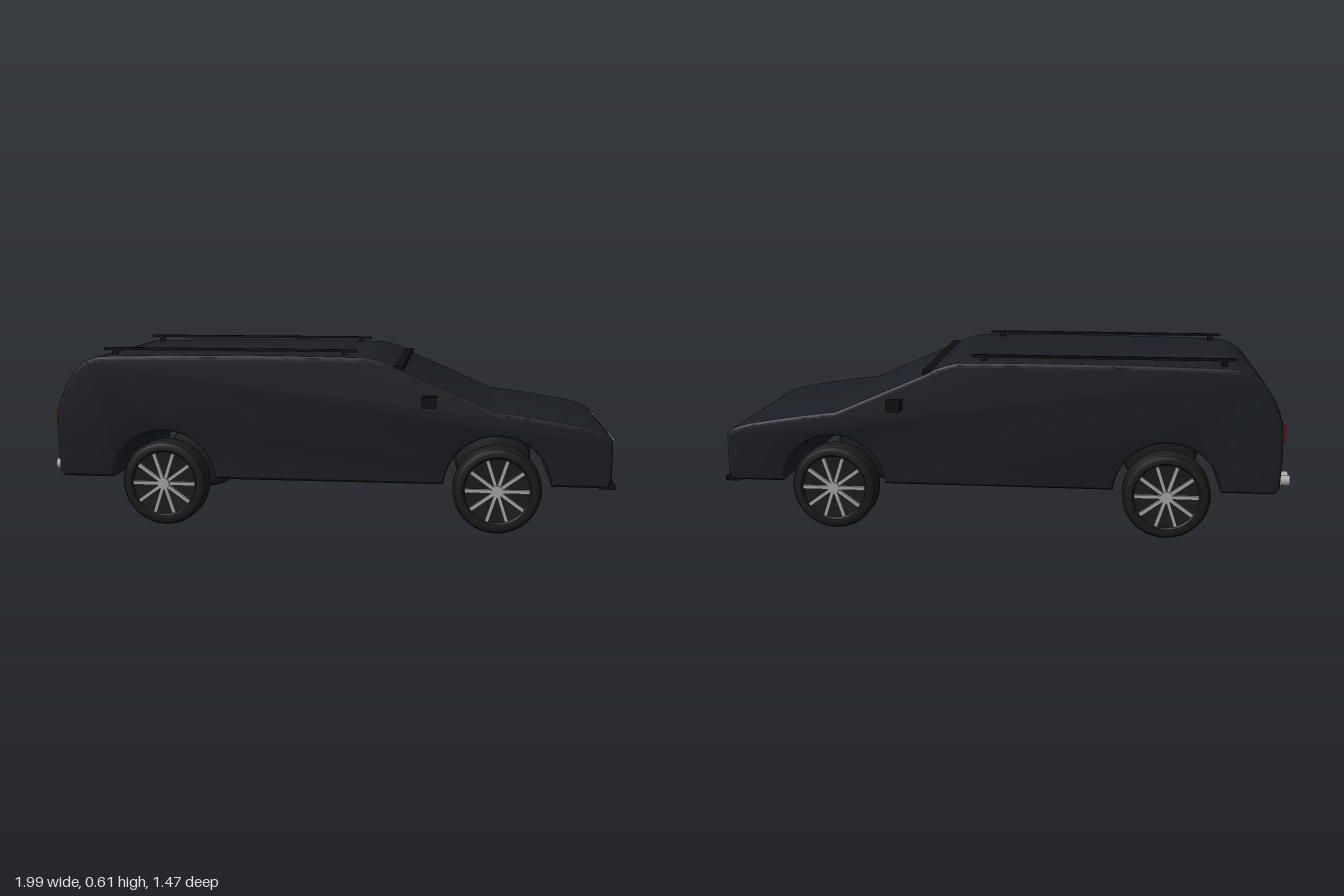
import * as THREE from 'three';
import { toCreasedNormals } from 'three/addons/utils/BufferGeometryUtils.js';

const paint = (color) => new THREE.MeshStandardMaterial({ color });
const MAT = {
  body: paint(0x1b1e24), trim: paint(0x0d0e10), tyre: paint(0x1c1c1c),
  metal: paint(0xaaaaaa), lamp: paint(0xe0e0e0), red: paint(0x8a1010),
};
const AXLE = 0.563, WHEEL_R = 0.147, ARCH_R = 0.178, FLOOR = 0.165, HALF_W = 0.353;

function add(parent, name, geometry, material, x = 0, y = 0, z = 0) {
  const mesh = new THREE.Mesh(geometry, material);
  mesh.name = name;
  mesh.position.set(x, y, z);
  parent.add(mesh);
  return mesh;
}
const box = (parent, name, mat, size, pos) => add(parent, name, new THREE.BoxGeometry(...size), mat, ...pos);

// Side profile with wheel arches cut through, extruded across the width
function bodyGeometry() {
  const s = new THREE.Shape();
  s.moveTo(-0.915, FLOOR);
  const a = Math.asin((FLOOR - 0.15) / ARCH_R);
  for (const x of [-AXLE, AXLE]) {
    s.lineTo(x - ARCH_R * Math.cos(a), FLOOR);
    s.absarc(x, 0.15, ARCH_R, Math.PI - a, a, true);
  }
  s.lineTo(0.925, FLOOR);
  s.lineTo(0.932, 0.2);
  s.lineTo(0.932, 0.322);
  s.quadraticCurveTo(0.925, 0.348, 0.85, 0.364);
  s.quadraticCurveTo(0.7, 0.392, 0.55, 0.41);
  s.lineTo(0.245, 0.543);
  s.quadraticCurveTo(0.19, 0.575, 0.13, 0.584);
  s.quadraticCurveTo(-0.3, 0.592, -0.77, 0.579);
  s.quadraticCurveTo(-0.84, 0.57, -0.875, 0.52);
  s.quadraticCurveTo(-0.915, 0.46, -0.93, 0.395);
  s.lineTo(-0.935, 0.3);
  s.lineTo(-0.93, 0.185);
  s.closePath();
  const bevel = 0.014;
  const g = new THREE.ExtrudeGeometry(s, {
    depth: 2 * (HALF_W - bevel), curveSegments: 20, bevelEnabled: true,
    bevelThickness: bevel, bevelSize: bevel, bevelOffset: -bevel, bevelSegments: 3,
  });
  g.translate(0, 0, -(HALF_W - bevel));
  return toCreasedNormals(g, 0.5);
}

// Wheel with its outer face towards +z
function createWheel(name) {
  const wheel = new THREE.Group();
  wheel.name = name;
  const profile = [[0, -0.042], [0.125, -0.042], [0.139, -0.036], [WHEEL_R, -0.022], [WHEEL_R, 0.022],
    [0.139, 0.036], [0.125, 0.042], [0.113, 0.04], [0.108, 0.034], [0, 0.034]];
  const tyre = new THREE.LatheGeometry(profile.map((p) => new THREE.Vector2(...p)), 48);
  tyre.rotateX(Math.PI / 2);
  add(wheel, 'tyre', toCreasedNormals(tyre, 0.6), MAT.tyre);
  for (let i = 0; i < 10; i++) {
    const spoke = new THREE.BoxGeometry(0.012, 0.092, 0.01);
    spoke.translate(0, 0.061, 0.039);
    add(wheel, 'spoke', spoke, MAT.metal).rotation.z = ((i + 0.5) * Math.PI) / 5;
  }
  const hub = new THREE.CylinderGeometry(0.02, 0.02, 0.016, 24);
  hub.rotateX(Math.PI / 2);
  add(wheel, 'hub', hub, MAT.metal, 0, 0, 0.04);
  return wheel;
}

export function createModel() {
  const model = new THREE.Group();
  model.name = 'car';
  const car = new THREE.Group(); // built with its nose along +x, then turned
  car.name = 'carParts';
  car.rotation.y = -0.469;
  model.add(car);

  add(car, 'body', bodyGeometry(), MAT.body);

  // Strip across the top of the windscreen
  box(car, 'windscreenStrip', MAT.trim, [0.035, 0.014, 0.69], [0.233, 0.55, 0]);

  // Nose and tail trim
  box(car, 'grille', MAT.trim, [0.02, 0.06, 0.38], [0.927, 0.255, 0]);
  box(car, 'lowerIntake', MAT.trim, [0.02, 0.028, 0.59], [0.925, 0.19, 0]);
  box(car, 'frontSplitter', MAT.trim, [0.05, 0.016, 0.7], [0.918, 0.17, 0]);
  box(car, 'rearDiffuser', MAT.trim, [0.03, 0.03, 0.54], [-0.922, 0.176, 0]);

  for (const side of [-1, 1]) {
    box(car, 'headlight', MAT.lamp, [0.02, 0.016, 0.147], [0.927, 0.315, side * 0.252]);
    box(car, 'tailLightBar', MAT.red, [0.014, 0.012, 0.18], [-0.928, 0.392, side * 0.25]);
    box(car, 'tailLightEnd', MAT.red, [0.014, 0.06, 0.012], [-0.93, 0.367, side * 0.335]);

    // Roof rail on small feet
    box(car, 'roofRail', MAT.trim, [0.87, 0.009, 0.012], [-0.343, 0.601, side * 0.289]);
    for (const x of [-0.74, 0.05]) box(car, 'railFoot', MAT.trim, [0.02, 0.022, 0.01], [x, 0.588, side * 0.289]);

    // Door mirror
    box(car, 'mirror', MAT.trim, [0.048, 0.036, 0.048], [0.337, 0.448, side * 0.4]);
    box(car, 'mirrorStalk', MAT.trim, [0.018, 0.012, 0.05], [0.337, 0.44, side * 0.365]);

    // Paired exhaust tips
    for (const z of [0.2, 0.25]) {
      const pipe = new THREE.CylinderGeometry(0.018, 0.018, 0.08, 20);
      pipe.rotateZ(Math.PI / 2);
      add(car, 'exhaustTip', pipe, MAT.metal, -0.935, 0.188, side * z);
    }

    for (const [name, x] of [['frontWheel', AXLE], ['rearWheel', -AXLE]]) {
      const wheel = createWheel(name);
      wheel.position.set(x, WHEEL_R, side * 0.311);
      if (side < 0) wheel.rotation.y = Math.PI;
      car.add(wheel);
    }
  }
  return model;
}
